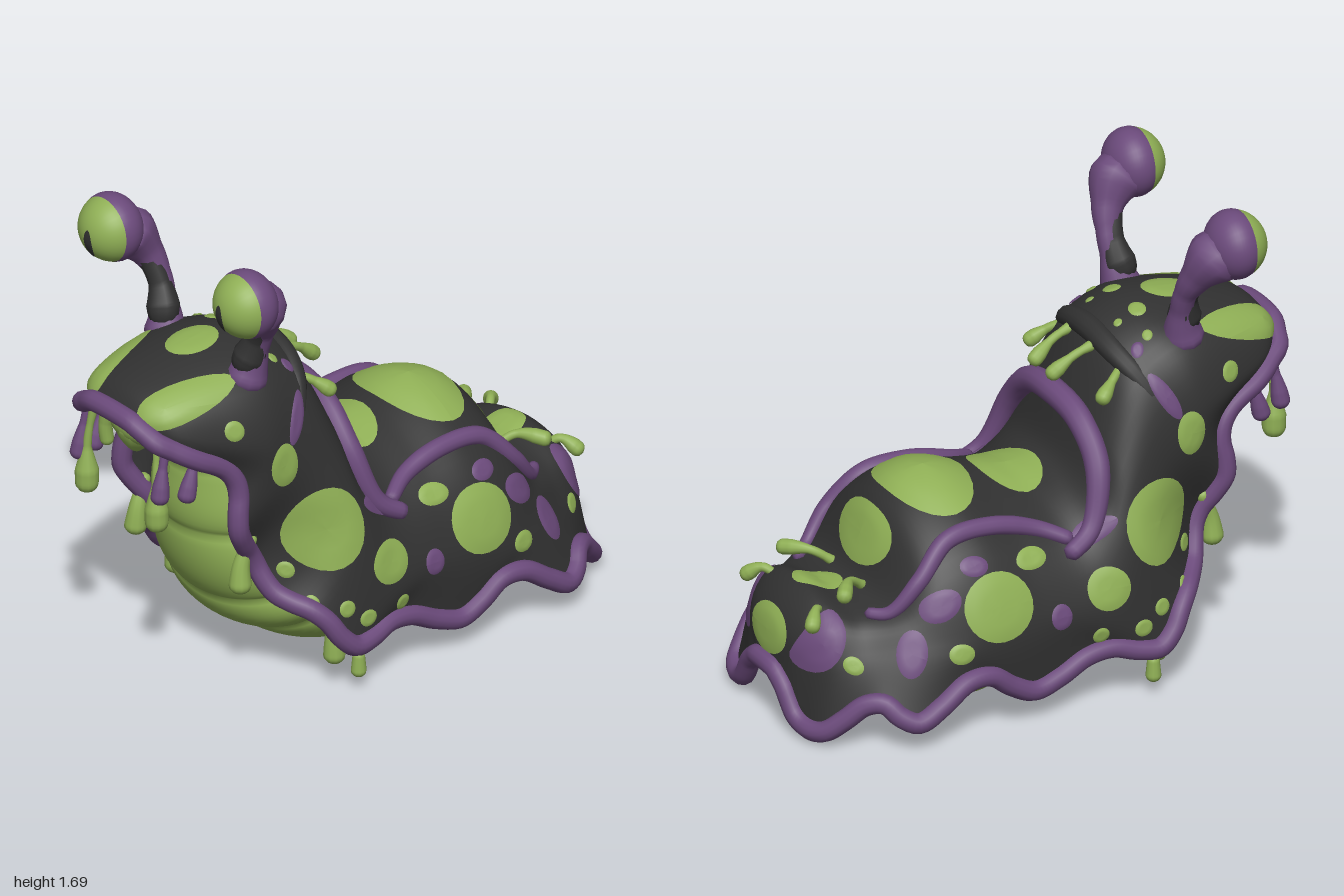
import * as THREE from 'three';
import { mergeVertices } from 'three/addons/utils/BufferGeometryUtils.js';

const V = (x, y, z) => new THREE.Vector3(x, y, z);
const makeMat = (name, color) => {
  const m = new THREE.MeshStandardMaterial({ color, side: THREE.DoubleSide });
  m.name = name;
  return m;
};
const lerpList = (a, t) => {
  const f = t * (a.length - 1), i = Math.min(Math.floor(f), a.length - 2);
  return a[i] + (a[i + 1] - a[i]) * (f - i);
};
const spline = pts => new THREE.CatmullRomCurve3(pts, false, 'catmullrom', 0.5);

function addMesh(parent, name, geo, mat) {
  const m = new THREE.Mesh(geo, mat);
  m.name = name;
  parent.add(m);
  return m;
}

// Surface through equal rows of points
function loft(rows) {
  const n = rows[0].length, idx = [];
  for (let i = 0; i < rows.length - 1; i++)
    for (let j = 0; j < n - 1; j++) {
      const a = i * n + j, b = a + n;
      idx.push(a, b, a + 1, b, b + 1, a + 1);
    }
  const g = new THREE.BufferGeometry().setFromPoints(rows.flat());
  g.setIndex(idx);
  g.computeVertexNormals();
  return g;
}

// Tube with varying radius and rounded ends
function limbGeo(pts, radii, closed = false, seg = 24, sides = 12) {
  const curve = new THREE.CatmullRomCurve3(pts, closed), L = curve.getLength();
  let g = new THREE.TubeGeometry(curve, seg, 1, sides, closed);
  const p = g.attributes.position, v = V(0, 0, 0);
  for (let i = 0; i <= seg; i++) {
    const t = i / seg, c = curve.getPointAt(t);
    let r = lerpList(radii, t);
    const d = Math.min(t, 1 - t) * L;
    if (!closed && d < r) r *= Math.sqrt(1 - (1 - d / r) ** 2);
    for (let j = 0; j <= sides; j++) {
      const k = i * (sides + 1) + j;
      v.fromBufferAttribute(p, k).sub(c).multiplyScalar(r).add(c);
      p.setXYZ(k, v.x, v.y, v.z);
    }
  }
  g.deleteAttribute('uv');
  g.deleteAttribute('normal');
  g = mergeVertices(g, 1e-5);
  g.computeVertexNormals();
  return g;
}

// Mantle stations: top y,z | side x,y,z | hem x,y,z
const MANTLE = [
  [1.12, .965, .13, 1.1, .955, .2, 1.06, .93], [1.2, .89, .24, 1.08, .87, .265, .99, .82],
  [1.26, .7, .32, 1.03, .7, .285, .92, .7], [1.285, .5, .36, .99, .57, .3, .83, .65],
  [1.255, .36, .37, .9, .48, .315, .68, .66], [1.18, .27, .385, .8, .39, .275, .53, .57],
  [.98, .18, .42, .68, .3, .34, .4, .52], [.78, .12, .46, .55, .22, .46, .33, .42],
  [.75, 0, .48, .42, .1, .51, .19, .3], [.77, -.15, .48, .4, -.1, .48, .22, .08],
  [.82, -.35, .49, .38, -.3, .49, .13, -.18], [.74, -.53, .48, .36, -.45, .5, .24, -.4],
  [.5, -.635, .43, .35, -.6, .51, .12, -.64], [.47, -.73, .35, .33, -.74, .42, .19, -.76],
  [.5, -.84, .28, .32, -.86, .32, .07, -.9], [.4, -.94, .18, .28, -.93, .2, .07, -.94],
  [.22, -.965, .07, .21, -.96, .12, .17, -.955],
];
// Belly stations: half width, y, z, depth
const BELLY = [
  [.15, 1.1, .84, .15], [.25, .82, .69, .26], [.31, .57, .675, .29], [.38, .29, .58, .3],
  [.42, .14, .42, .28], [.43, .05, .18, .25], [.43, .035, -.05, .22], [.43, .035, -.25, .22],
  [.43, .05, -.45, .2], [.38, .08, -.68, .15], [.26, .13, -.86, .1], [.1, .2, -.93, .04],
];

function mantleRows() {
  const ribs = MANTLE.map(([ty, tz, mx, my, mz, hx, hy, hz], i) => {
    const [qx, qy] = i >= 8 && i <= 11 ? [.7, .63] : [.72, .72];
    const half = [V(hx, hy, hz), V(mx, my, mz), V(mx * qx, my + (ty - my) * qy, mz + (tz - mz) * qy)];
    return [...half.map(p => V(-p.x, p.y, p.z)), V(0, ty, tz), ...half.slice().reverse()];
  });
  const dense = ribs.map(r => spline(r).getPoints(40));
  const cols = dense[0].map((_, j) => spline(dense.map(r => r[j])).getPoints(120));
  return cols[0].map((_, i) => cols.map(c => c[i]));
}

function bellyRows() {
  const path = spline(BELLY.map(([w, y, z]) => V(w, y, z))), rows = [], N = 132;
  for (let i = 0; i <= N; i++) {
    const t = i / N, c = path.getPoint(t), tan = path.getTangent(t);
    const len = Math.hypot(tan.y, tan.z), ny = tan.z / len, nz = -tan.y / len;
    const d = lerpList(BELLY.map(s => s[3]), t);
    const bump = .025 * Math.abs(Math.sin(Math.PI * t * 11)) ** .6 - .008;
    const row = [];
    for (let j = 0; j <= 32; j++) {
      const a = (j / 32 - .5) * Math.PI, o = bump - d * (1 - Math.cos(a));
      row.push(V((c.x + bump) * Math.sin(a), c.y + ny * o, c.z + nz * o));
    }
    rows.push(row);
  }
  return rows;
}

export function createModel() {
  const root = new THREE.Group();
  root.name = 'slugCreature';
  const green = makeMat('slimeGreen', 0x8faf55), purple = makeMat('mutedPurple', 0x6b4a7b), dark = makeMat('charcoal', 0x313131);

  // Body
  const rows = mantleRows();
  const mantle = addMesh(root, 'mantle', loft(rows), dark);
  addMesh(root, 'belly', loft(bellyRows()), green);

  // Wavy hem running all around the mantle
  const last = rows.length - 1, n = rows[0].length - 1, loop = [];
  for (let j = 0; j < n; j += 4) loop.push(rows[0][j]);
  for (let i = 0; i < last; i += 3) loop.push(rows[i][n]);
  for (let j = n; j > 0; j -= 4) loop.push(rows[last][j]);
  for (let i = last; i > 0; i -= 3) loop.push(rows[i][0]);
  addMesh(root, 'hem', limbGeo(loop, [.037, .037], true, 400, 12), purple);

  // Drop a ray on the mantle and lift the hit slightly
  const ray = new THREE.Raycaster();
  root.updateMatrixWorld(true);
  const VIEWS = {
    side: (a, b, s) => [V(3 * s, b, a), V(-s, 0, 0)],
    top: (a, b, s) => [V(a * s, 3, b), V(0, -1, 0)],
    front: (a, b, s) => [V(a * s, b, 3), V(0, 0, -1)],
    back: (a, b, s) => [V(a * s, b, -3), V(0, 0, 1)],
  };
  const hit = (view, a, b, s, lift) => {
    const [from, dir] = VIEWS[view](a, b, s);
    ray.set(from, dir);
    const h = ray.intersectObject(mantle)[0];
    if (!h) return null;
    const nrm = h.face.normal.clone();
    if (nrm.dot(dir) > 0) nrm.negate();
    return h.point.addScaledVector(nrm, lift);
  };

  // Spot: thin patch that follows the mantle
  const spot = (mat, view, a, b, ra, rb, tilt = 0) => {
    const sides = view !== 'side' && a === 0 ? [1] : [1, -1];
    for (const s of sides) {
      const c = hit(view, a, b, s, .007);
      if (!c) continue;
      const grid = [Array(25).fill(c)];
      for (let k = 1; k <= 4; k++) {
        const row = [];
        for (let j = 0; j <= 24; j++) {
          const t = j / 24 * Math.PI * 2, u = Math.cos(t) * ra * k / 4, w = Math.sin(t) * rb * k / 4;
          const pa = a + u * Math.cos(tilt) - w * Math.sin(tilt), pb = b + u * Math.sin(tilt) + w * Math.cos(tilt);
          row.push(hit(view, pa, pb, s, k === 4 ? .003 : .007) || grid[k - 1][j]);
        }
        grid.push(row);
      }
      addMesh(root, 'spot', loft(grid), mat);
    }
  };
  const spots = (mat, view, list) => list.forEach(s => spot(mat, view, ...s));
  spots(green, 'side', [[.35, .62, .14, .15], [.12, .44, .08, .075], [-.3, .46, .13, .115], [.5, .9, .055, .08],
    [.68, 1.07, .035, .035], [.48, .48, .025, .03], [.32, .33, .03, .03], [.24, .275, .035, .03], [.08, .28, .03, .03],
    [-.14, .58, .06, .032], [-.46, .33, .045, .035], [.43, .37, .02, .025], [-.8, .3, .03, .03]]);
  spots(green, 'top', [[0, -.35, .24, .15], [0, -.03, .17, .12], [0, -.76, .08, .09], [0, .61, .08, .1],
    [.09, .44, .035, .03], [.1, .36, .015, .015], [.2, .42, .018, .018]]);
  spots(green, 'front', [[.18, 1.165, .08, .065]]);
  spots(green, 'back', [[0, .62, .17, .1], [0, .34, .12, .085]]);
  spots(purple, 'side', [[-.07, .38, .04, .045], [-.5, .49, .075, .045, .5], [-.62, .34, .045, .08, -.4],
    [.42, 1.04, .03, .09, .5], [-.87, .36, .05, .115, -.55], [.1, .62, .1, .03, .5], [-.36, .6, .05, .03]]);
  spots(purple, 'top', [[.22, .37, .022, .022]]);

  // Neck collar and fold behind the head
  addMesh(root, 'collar', limbGeo([V(-.41, .56, -.01), V(-.38, .63, .1), V(-.31, .82, .165), V(-.18, .95, .165), V(0, .99, .155),
    V(.18, .95, .165), V(.31, .82, .165), V(.38, .63, .1), V(.41, .56, -.01)], [.03, .045, .047, .045, .03], false, 80), purple);
  addMesh(root, 'headFold', limbGeo([V(-.36, .92, .44), V(-.28, 1.07, .37), V(-.16, 1.16, .315), V(0, 1.195, .3),
    V(.16, 1.16, .315), V(.28, 1.07, .37), V(.36, .92, .44)], [.01, .04, .045, .04, .01], false, 60), dark);

  // Mouth under the lip
  const mouth = addMesh(root, 'mouth', new THREE.SphereGeometry(1, 28, 18), green);
  mouth.scale.set(.145, .09, .12);
  mouth.position.set(0, 1.04, .81);
  addMesh(root, 'mouthTip', limbGeo([V(0, 1.06, .82), V(0, .99, .85), V(0, .925, .86)], [.12, .085, .02]), green);

  for (const s of [1, -1]) {
    const side = new THREE.Group();
    side.name = s > 0 ? 'leftSide' : 'rightSide';
    root.add(side);
    const limb = (name, mat, radii, ...pts) => addMesh(side, name, limbGeo(pts.map(([x, y, z]) => V(x * s, y, z)), radii, false, 32), mat);

    // Eye stalk flaring into the eyeball, purple behind and dark in front
    limb('eyeStalk', purple, [.1, .065, .042, .042, .06, .1, .11], [.21, 1.15, .56], [.235, 1.26, .535], [.275, 1.38, .525], [.315, 1.46, .545], [.35, 1.54, .6], [.362, 1.575, .67]);
    limb('stalkFront', dark, [.05, .06, .041, .041, .045], [.21, 1.22, .57], [.235, 1.29, .545], [.27, 1.38, .537], [.308, 1.455, .556], [.33, 1.49, .585]);

    // Eyeball
    const eye = new THREE.Group();
    eye.name = 'eye';
    eye.position.set(.365 * s, 1.582, .658);
    side.add(eye);
    const R = .124, cut = 1.25, seam = R * Math.cos(cut);
    const front = new THREE.SphereGeometry(R, 32, 16, 0, Math.PI * 2, 0, cut).rotateX(Math.PI / 2);
    const back = new THREE.SphereGeometry(R, 32, 16, 0, Math.PI * 2, cut, Math.PI - cut).rotateX(Math.PI / 2);
    back.translate(0, 0, -seam).scale(1, 1, .8).translate(0, 0, seam);
    addMesh(eye, 'eyeFront', front, green);
    addMesh(eye, 'eyeBack', back, purple);

    // Pupil: thin patch on the eyeball
    const pupil = [];
    for (let k = 0; k <= 4; k++) {
      const ring = [];
      for (let j = 0; j <= 24; j++) {
        const t = j / 24 * Math.PI * 2, x = -.01 * s + .019 * k / 4 * Math.cos(t), y = -.028 + .055 * k / 4 * Math.sin(t);
        ring.push(V(x, y, Math.sqrt((R + .003) ** 2 - x * x - y * y)));
      }
      pupil.push(ring);
    }
    addMesh(eye, 'pupil', loft(pupil), dark);

    // Drips around the mouth and hem
    limb('mouthDrip', green, [.018, .013, .016, .042, .042], [.17, 1.06, .9], [.185, .92, .92], [.19, .71, .92]);
    limb('mouthDrip', green, [.035, .025, .025], [.13, 1.07, .86], [.15, .97, .87], [.15, .89, .86]);
    limb('mouthDrip', purple, [.016, .016, .03, .036], [.21, 1.03, .9], [.215, .93, .92], [.22, .83, .935]);
    limb('mouthDrip', purple, [.016, .018, .03, .036], [.245, 1.0, .79], [.25, .91, .82], [.25, .82, .845]);
    limb('hemDrip', green, [.025, .025, .035, .045], [.29, .63, .58], [.28, .52, .62], [.285, .41, .63]);
    limb('hemDrip', green, [.03, .035, .042], [.43, .28, .32], [.43, .19, .33], [.43, .1, .33]);
    limb('hemDrip', green, [.02, .03], [.5, .16, .28], [.5, .06, .28]);

    // Feelers on neck and tail
    const feeler = [.022, .015, .016, .027, .028];
    limb('neckFeeler', green, feeler, [.08, 1.17, .28], [.075, 1.14, .2], [.06, 1.07, .105]);
    limb('neckFeeler', green, feeler, [.19, 1.13, .33], [.23, 1.1, .27], [.27, 1.04, .195]);
    limb('tailFeeler', green, feeler, [.1, .46, -.62], [.14, .52, -.71], [.24, .51, -.79]);
    limb('tailFeeler', green, feeler, [.14, .43, -.82], [.19, .47, -.87], [.25, .42, -.92]);

    // Purple ridge along the back
    const path = [[.37, .04], [.31, -.08], [.295, -.25], [.3, -.42], [.33, -.54], [.3, -.64], [.24, -.71]];
    const ridge = path.map(([x, z]) => hit('top', x, z, s, .004));
    addMesh(side, 'backRidge', limbGeo(ridge, [.025, .034, .034, .03, .02], false, 60), purple);
  }
  return root;
}
